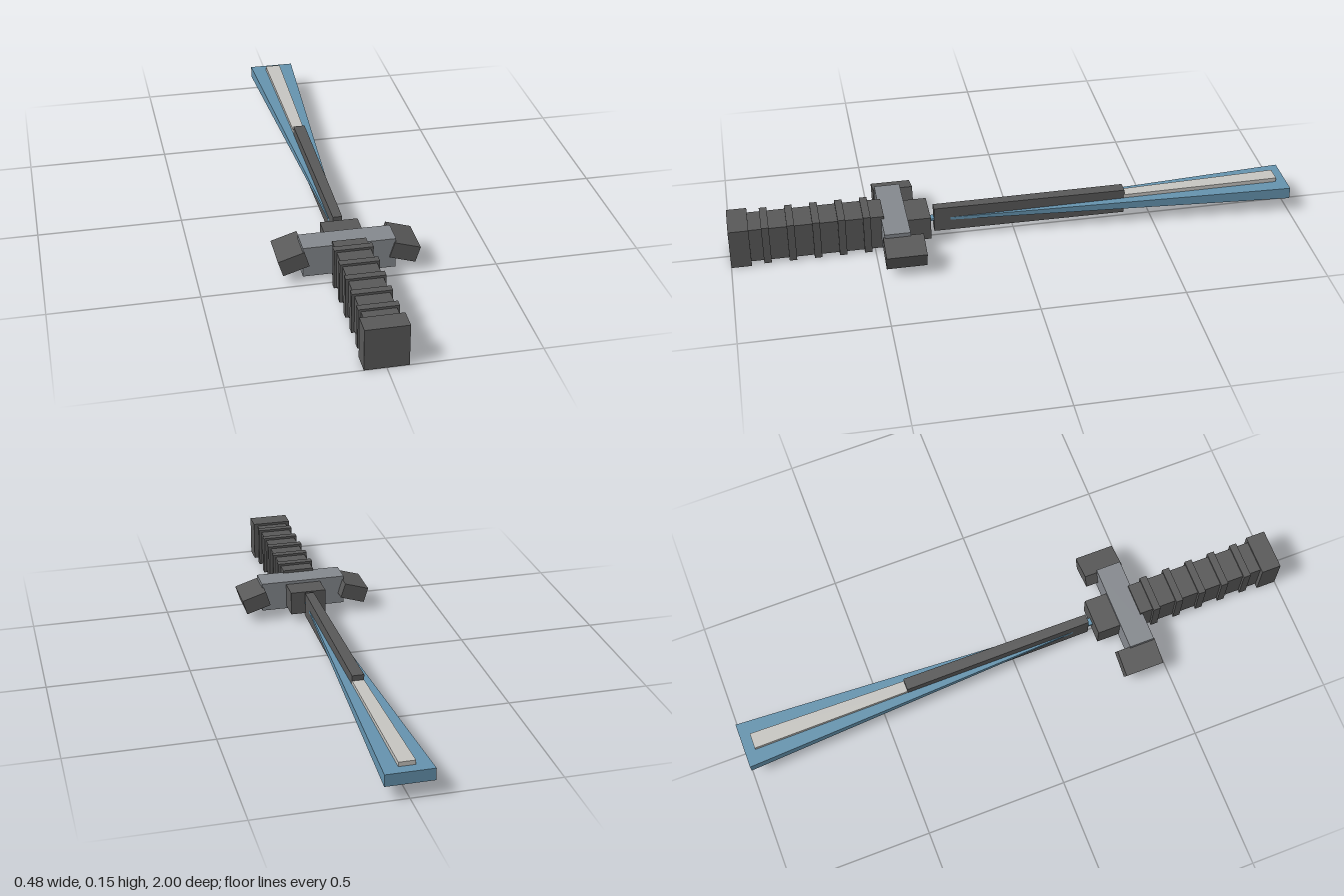
import * as THREE from 'three';

const MID = 0.074; // height of the sword's axis

function mat(name, color) {
  const m = new THREE.MeshStandardMaterial({ color });
  m.name = name;
  return m;
}

export function createModel() {
  const group = new THREE.Group();
  group.name = 'sword';
  const dark = mat('darkGrey', 0x595959);
  const steel = mat('steelGrey', 0x85898e);
  const blue = mat('bladeBlue', 0x6593ae);
  const silver = mat('silver', 0xc6c5c1);

  // Bar along z; half sizes at the back end (z0) and front end (z1) may differ
  function bar(name, material, z0, z1, hx0, hy0, hx1 = hx0, hy1 = hy0) {
    const g = new THREE.BoxGeometry(2, 2, z1 - z0).toNonIndexed();
    const p = g.attributes.position;
    for (let i = 0; i < p.count; i++) {
      const front = p.getZ(i) > 0;
      p.setX(i, p.getX(i) * (front ? hx1 : hx0));
      p.setY(i, p.getY(i) * (front ? hy1 : hy0));
    }
    g.computeVertexNormals();
    const mesh = new THREE.Mesh(g, material);
    mesh.name = name;
    mesh.position.set(0, MID, (z0 + z1) / 2);
    group.add(mesh);
    return mesh;
  }

  // Handle with raised rings and a square pommel
  bar('grip', dark, 0.465, 0.95, 0.057, 0.064);
  bar('pommel', dark, 0.93, 1, 0.072, 0.073);
  for (let i = 0; i < 5; i++) {
    const z = 0.525 + i * 0.0873;
    bar('gripRing', dark, z - 0.013, z + 0.013, 0.066, 0.072);
  }

  // Crossguard, collar and drooping guard ends
  bar('crossguard', steel, 0.385, 0.475, 0.157, 0.054);
  bar('collar', dark, 0.303, 0.4, 0.065, 0.043);
  for (const s of [-1, 1]) {
    const end = bar(s > 0 ? 'leftGuardEnd' : 'rightGuardEnd', dark, 0.34, 0.48, 0.0465, 0.0285);
    end.position.x = s * 0.188;
    end.rotation.z = -s * 0.305;
  }

  // Blade widening to a flat tip, with a dark spine and a silver inlay
  bar('blade', blue, -1, 0.31, 0.082, 0.021, 0.012, 0.004);
  bar('spine', dark, -0.4, 0.285, 0.021, 0.046, 0.016, 0.046);
  bar('inlay', silver, -0.963, -0.37, 0.028, 0.036, 0.02, 0.026);

  return group;
}
